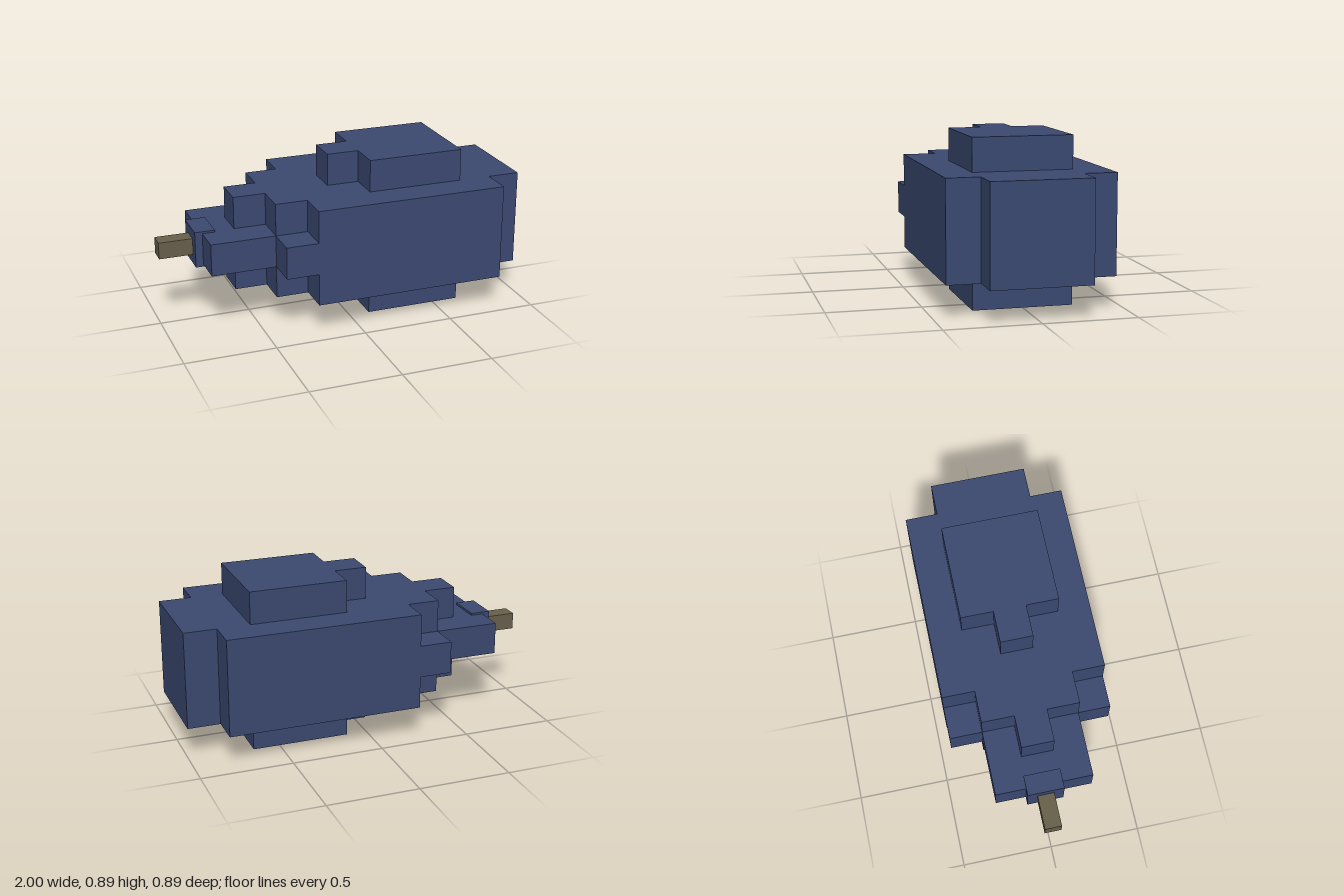
import * as THREE from 'three';

export function createModel() {
  const model = new THREE.Group();
  const navy = new THREE.MeshStandardMaterial({ color: 0x3b4971 });
  navy.name = 'navy';
  const brown = new THREE.MeshStandardMaterial({ color: 0x68604c });
  brown.name = 'brown';

  const U = 0.1774; // block unit
  const MID = 2.5 * U; // height of the long axis

  // Box from x0 to x1, with y and z ranges measured from the long axis
  function block(name, x0, x1, y0, y1, z0, z1, material = navy) {
    const mesh = new THREE.Mesh(new THREE.BoxGeometry(x1 - x0, y1 - y0, z1 - z0), material);
    mesh.position.set((x0 + x1) / 2, MID + (y0 + y1) / 2, (z0 + z1) / 2);
    mesh.name = name;
    model.add(mesh);
  }

  const h = U / 2, w = 1.5 * U, o = 2.5 * U;
  // Block columns counted from the right-hand end
  const X = (n) => 1 - n * U;

  // Core and stepped tip
  block('core', X(8), 1, -w, w, -w, w);
  block('tipSlab', X(10), X(8), -h, h, -w, w);
  block('tipUpperStep', X(9), X(8), h, w, -h, h);
  block('tipLowerStep', X(9), X(8), -w, -h, -h, h);

  // Side, top and bottom plates, each with a small leading step
  for (const s of [1, -1]) {
    const a = Math.min(s * w, s * o), b = Math.max(s * w, s * o);
    const side = s > 0 ? 'front' : 'back';
    const cap = s > 0 ? 'top' : 'bottom';
    block(side + 'Plate', X(7), X(1), -w, w, a, b);
    block(side + 'PlateStep', X(8), X(7), -h, h, a, b);
    block(cap + 'Plate', X(5), X(2), a, b, -w, w);
    block(cap + 'PlateStep', X(6), X(5), a, b, -h, h);
  }

  // Collar and stem
  block('collar', -0.815, -0.705, -0.1, 0.1, -0.1, 0.1);
  block('stem', -1, -0.815, -0.046, 0.046, -0.046, 0.046, brown);

  return model;
}
